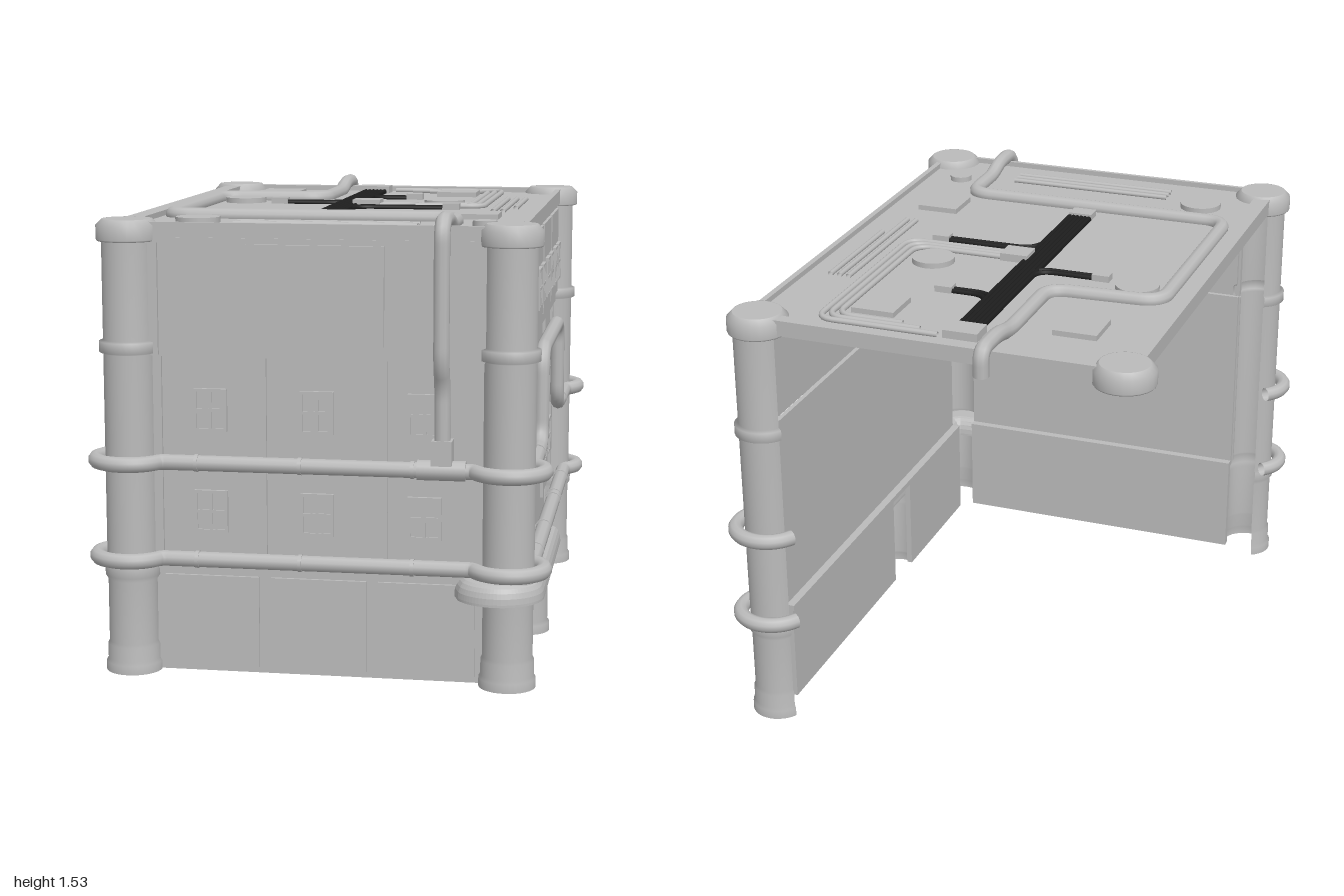
import * as THREE from 'three';

const mat = (name, color) => Object.assign(new THREE.MeshStandardMaterial({ color, side: THREE.DoubleSide }), { name });
const grey = mat('concrete grey', 0xbbbbbb);
const black = mat('cable black', 0x1e1e1e);
const V = (x, y, z) => new THREE.Vector3(x, y, z);

function add(parent, name, geo, material = grey, x = 0, y = 0, z = 0) {
  const m = new THREE.Mesh(geo, material);
  m.name = name;
  m.position.set(x, y, z);
  parent.add(m);
  return m;
}

// box given by its limits
function block(parent, name, x0, x1, y0, y1, z0, z1, material = grey) {
  return add(parent, name, new THREE.BoxGeometry(x1 - x0, y1 - y0, z1 - z0), material,
    (x0 + x1) / 2, (y0 + y1) / 2, (z0 + z1) / 2);
}

// tube along a polyline with rounded corners
function pipe(parent, name, pts, radius, bend, material = grey, segs = 120) {
  const path = new THREE.CurvePath();
  let prev = pts[0];
  for (let i = 1; i < pts.length - 1; i++) {
    const p = pts[i];
    const a = pts[i - 1].clone().sub(p), b = pts[i + 1].clone().sub(p);
    const r = Math.min(bend, a.length() * 0.49, b.length() * 0.49);
    const s = p.clone().addScaledVector(a.normalize(), r);
    const e = p.clone().addScaledVector(b.normalize(), r);
    path.add(new THREE.LineCurve3(prev, s));
    path.add(new THREE.QuadraticBezierCurve3(s, p, e));
    prev = e;
  }
  path.add(new THREE.LineCurve3(prev, pts[pts.length - 1]));
  add(parent, name, new THREE.TubeGeometry(path, segs, radius, 10, false), material);
}

// points on a horizontal arc, degrees from +x towards +z
function arc(cx, cz, r, from, to, y, n = 12) {
  return Array.from({ length: n + 1 }, (_, i) => {
    const a = THREE.MathUtils.degToRad(from + (to - from) * i / n);
    return V(cx + r * Math.cos(a), y, cz + r * Math.sin(a));
  });
}

// lathe shell covering an arc, degrees from +x towards +z
function shell(pts, from, to) {
  return new THREE.LatheGeometry(pts.map(p => new THREE.Vector2(...p)), 24,
    THREE.MathUtils.degToRad(90 - to), THREE.MathUtils.degToRad(to - from));
}

function rectPath(Type, x0, x1, y0, y1) {
  return new Type([[x0, y0], [x1, y0], [x1, y1], [x0, y1]].map(p => new THREE.Vector2(...p)));
}

// four-pane window frame
const frame = rectPath(THREE.Shape, -0.055, 0.055, -0.07, 0.07);
for (const sx of [-1, 1]) for (const sy of [-1, 1]) {
  const xs = [sx * 0.005, sx * 0.045].sort((a, b) => a - b);
  const ys = [sy * 0.005, sy * 0.06].sort((a, b) => a - b);
  frame.holes.push(rectPath(THREE.Path, ...xs, ...ys));
}
const frameGeo = new THREE.ExtrudeGeometry(frame, { depth: 0.012, bevelEnabled: false });

// one facade facing local +z: upper floors, pilasters, panels, windows
function facade(name, half, zTop, bays, topPanels, windows) {
  const g = new THREE.Group();
  g.name = name;
  const zMid = zTop - 0.018;
  block(g, 'upperWall', -half, half, 1.055, 1.44, zTop - 0.012, zTop);
  block(g, 'middleWall', -half, half, 0.36, 1.06, zMid - 0.016, zMid);
  block(g, 'ledge', -half, half, 0.345, 0.365, zMid - 0.045, zMid);
  for (const [a, b, d] of topPanels) block(g, 'upperPanel', a, b, 1.1, 1.42, zTop, zTop + d);
  for (const x of bays) block(g, 'pilaster', x - 0.02, x + 0.02, 0.36, 1.055, zMid, zMid + 0.011);
  for (const [x, y] of windows) {
    const z = y > 1.1 ? zTop + 0.01 : zMid;
    add(g, 'windowFrame', frameGeo, grey, x, y, z);
    block(g, 'windowPane', x - 0.05, x + 0.05, y - 0.065, y + 0.065, z, z + 0.006);
  }
  return g;
}

export function createModel() {
  const root = new THREE.Group();
  root.name = 'building';
  const CX = 0.62, CZ = 0.855;

  // front facade
  const frontWindows = [];
  for (const x of [-0.35, 0, 0.35]) for (const y of [0.545, 0.88]) frontWindows.push([x, y]);
  const front = facade('frontFacade', 0.545, 0.88, [-0.53, -0.185, 0.21, 0.53], [[-0.225, 0.22, 0.012]], frontWindows);
  block(front, 'upperTrim', -0.545, 0.545, 1.422, 1.44, 0.88, 0.892);
  for (const s of [-1, 1]) block(front, 'upperTrim', s * 0.53 - 0.015, s * 0.53 + 0.015, 1.06, 1.422, 0.88, 0.892);
  block(front, 'groundWall', -0.545, 0.545, 0, 0.36, 0.818, 0.845);
  for (const x of [-0.355, 0, 0.355]) block(front, 'groundPanel', x - 0.158, x + 0.158, 0.02, 0.325, 0.845, 0.855);
  root.add(front);

  // side facade
  const sideWindows = [];
  [-0.57, -0.19, 0.195, 0.57].forEach((c, i) => {
    for (const d of [-0.08, 0.08]) for (const y of [0.545, 0.88, 1.225])
      if (i > 0 || y > 0.6) sideWindows.push([c + d, y]);
  });
  const side = facade('sideFacade', 0.78, 0.648, [-0.765, -0.38, 0, 0.375, 0.755],
    [[-0.75, -0.41, 0.01], [-0.36, -0.03, 0.01], [0.015, 0.35, 0.01], [0.39, 0.73, 0.01]], sideWindows);
  block(side, 'groundWall', -0.105, 0.78, 0, 0.36, 0.59, 0.615);
  block(side, 'entranceWall', -0.78, -0.255, 0, 0.36, 0.585, 0.605);
  // double door
  block(side, 'doorFrame', -0.65, -0.37, 0, 0.25, 0.605, 0.611);
  for (const x of [-0.575, -0.445]) block(side, 'doorLeaf', x - 0.055, x + 0.055, 0.01, 0.235, 0.611, 0.617);
  block(side, 'doorHandle', -0.585, -0.575, 0.08, 0.09, 0.617, 0.628);
  side.rotation.y = Math.PI / 2;
  root.add(side);

  // corner columns: open shells with base, collars and ring
  const columnProfile = [[0.093, 0], [0.093, 0.03], [0.087, 0.04], [0.087, 0.09], [0.082, 0.1], [0.082, 0.31],
    [0.091, 0.325], [0.091, 0.36], [0.084, 0.37], [0.084, 1.06], [0.097, 1.065], [0.097, 1.1], [0.084, 1.105], [0.084, 1.44]];
  for (const [sx, sz, from, to] of [[-1, 1, 0, 242], [1, 1, -90, 180], [1, -1, -152, 90]])
    add(root, 'cornerColumn', shell(columnProfile, from, to), grey, sx * CX, 0, sz * CZ);
  const capGeo = shell([[0, 1.425], [0.098, 1.425], [0.101, 1.43], [0.101, 1.475], [0.082, 1.495], [0.08, 1.495], [0, 1.495]], 0, 360);
  for (const sx of [-1, 1]) for (const sz of [-1, 1]) add(root, 'columnCap', capGeo, grey, sx * CX, 0, sz * CZ);
  add(root, 'porchColumn', shell([[0.088, 0], [0.088, 0.03], [0.081, 0.04], [0.081, 0.25], [0.086, 0.26], [0.086, 0.31]], -100, 100),
    grey, CX, 0, 0.18);

  // entrance canopy wrapping the corner
  const canopy = new THREE.Shape();
  canopy.moveTo(0.65, -0.1);
  canopy.lineTo(0.695, -0.1);
  canopy.lineTo(0.695, -0.84);
  canopy.absarc(0.59, -0.84, 0.105, 0, -Math.PI + 0.44, true);
  canopy.lineTo(0.62, -0.885);
  canopy.lineTo(0.65, -0.86);
  const canopyGeo = new THREE.ExtrudeGeometry(canopy, { depth: 0.008, bevelSize: 0.04, bevelThickness: 0.06, bevelSegments: 5, curveSegments: 16 });
  // flatten the lower bevel to a straight rim
  const cp = canopyGeo.attributes.position;
  for (let i = 0; i < cp.count; i++) if (cp.getZ(i) < 0) cp.setZ(i, 0);
  canopyGeo.computeVertexNormals();
  add(root, 'canopy', canopyGeo, grey, 0, 0.292, 0).rotation.x = -Math.PI / 2;

  // roof slab and raised rim
  const rx0 = -0.665, rx1 = 0.66, rz0 = -0.9, rz1 = 0.89;
  block(root, 'roof', rx0, rx1, 1.435, 1.47, rz0, rz1);
  block(root, 'roofRim', rx0, -0.605, 1.47, 1.488, rz0, rz1);
  block(root, 'roofRim', 0.64, rx1, 1.47, 1.488, rz0, rz1);
  block(root, 'roofRim', -0.605, 0.64, 1.47, 1.488, rz0, -0.855);
  block(root, 'roofRim', -0.605, 0.64, 1.47, 1.488, 0.875, rz1);

  // pipes running around the facades
  const R = 0.116, pr = 0.026;
  const around = (y, middle) => [
    ...arc(-CX, CZ, R, 233, 22, y), ...arc(CX, CZ, R, 158, -53, y),
    ...middle, ...arc(CX, -CZ, R, 53, -155, y)];
  pipe(root, 'lowerPipe', around(0.39, []), pr, 0.03, grey, 300);
  pipe(root, 'upperPipe', around(0.71, [V(0.685, 0.71, 0.39), V(0.685, 1.03, 0.375),
    V(0.685, 1.03, -0.375), V(0.685, 0.71, -0.39)]), pr, 0.08, grey, 400);
  const sleeve = new THREE.CylinderGeometry(0.029, 0.029, 0.012, 12);
  for (const y of [0.39, 0.71]) {
    for (const x of [-0.39, -0.05, 0.315]) add(root, 'pipeClip', sleeve, grey, x, y, 0.898).rotation.z = Math.PI / 2;
    for (const z of y < 0.5 ? [0.6, 0.26, -0.19, -0.255, -0.6] : [0.55, -0.54])
      add(root, 'pipeClip', sleeve, grey, 0.688, y, z).rotation.x = Math.PI / 2;
  }

  // roof pipe descending to the front junction
  pipe(root, 'roofPipe', [V(-0.185, 1.42, -0.945), V(-0.185, 1.506, -0.945), V(-0.185, 1.506, -0.8),
    V(-0.185, 1.478, -0.7), V(-0.185, 1.478, -0.33), V(-0.57, 1.478, -0.31), V(-0.57, 1.478, 0.505),
    V(0.41, 1.478, 0.505), V(0.41, 1.478, 0.72), V(0.41, 1.506, 0.8), V(0.41, 1.506, 0.942),
    V(0.41, 1.06, 0.942), V(0.41, 0.98, 0.905), V(0.41, 0.72, 0.9)], 0.026, 0.075, grey, 300);
  block(root, 'pipeJunction', 0.377, 0.443, 0.73, 0.81, 0.867, 0.93);
  add(root, 'pipeJunction', new THREE.CylinderGeometry(0.033, 0.033, 0.155, 12), grey, 0.408, 0.711, 0.898).rotation.z = Math.PI / 2;

  // black cable bundle with branches and end boxes
  const ry = 1.472;
  block(root, 'cableBed', -0.1, -0.012, 1.468, 1.477, -0.73, 0.39, black);
  const strand = new THREE.CylinderGeometry(0.008, 0.008, 1.11, 8);
  for (let i = 0; i < 6; i++) add(root, 'cable', strand, black, -0.092 + i * 0.0145, 1.478, -0.17).rotation.x = Math.PI / 2;
  block(root, 'cableBox', -0.12, -0.002, ry - 0.01, 1.497, -0.81, -0.72);
  block(root, 'cableBox', -0.1, -0.016, ry - 0.01, 1.492, 0.385, 0.445);
  for (const [x0, z0, x1, z1] of [[-0.03, -0.6, 0.12, -0.43], [-0.083, -0.3, -0.3, -0.16], [-0.03, 0.2, 0.31, 0.02]]) {
    const turn = Math.sign(x0 - x1) * Math.sign(z1 - z0);
    for (const d of [-0.009, 0.009])
      pipe(root, 'branchCable', [V(x0 + d, ry + 0.003, z0), V(x0 + d, ry + 0.003, z1 + d * turn),
        V(x1, ry + 0.003, z1 + d * turn)], 0.009, 0.09, black, 30);
    const bx = x1 + Math.sign(x1) * 0.02;
    block(root, 'branchBox', bx - 0.03, bx + 0.03, ry - 0.01, 1.492, z1 - 0.022, z1 + 0.022);
  }

  // nested thin conduits
  [0, 1, 2].forEach(i => {
    const o = i * 0.025;
    pipe(root, 'conduit', [V(0.015 + i * 0.07, 1.476, -0.805 + o), V(0.435 - o, 1.476, -0.805 + o),
      V(0.435 - o, 1.476, -0.035 - o), V(0.05, 1.476, -0.035 - o)], 0.01, 0.06, grey, 80);
  });
  block(root, 'conduitBox', -0.03, 0.068, 1.465, 1.497, -0.105, -0.02);

  // straight roof bars
  for (const [x, end] of [[0.49, 0.16], [0.523, 0.16], [0.556, 0.01]])
    pipe(root, 'roofBar', [V(x, 1.476, -0.435), V(x, 1.476, end)], 0.009, 0, grey, 2);
  for (const z of [0.705, 0.737, 0.77])
    pipe(root, 'roofBar', [V(-0.29, 1.476, z), V(0.31, 1.476, z)], 0.009, 0, grey, 2);

  // roof hatches and vents
  for (const [x, z] of [[-0.395, -0.6], [0.28, -0.64], [0.46, 0.36]])
    block(root, 'roofHatch', x - 0.074, x + 0.074, 1.465, 1.488, z - 0.073, z + 0.073);
  for (const [x, z, r] of [[-0.458, -0.205, 0.074], [0.28, -0.19, 0.074], [-0.432, 0.665, 0.074], [0.515, 0.665, 0.04]])
    add(root, 'roofVent', new THREE.CylinderGeometry(r, r, 0.023, 24), grey, x, 1.477, z);

  return root;
}
